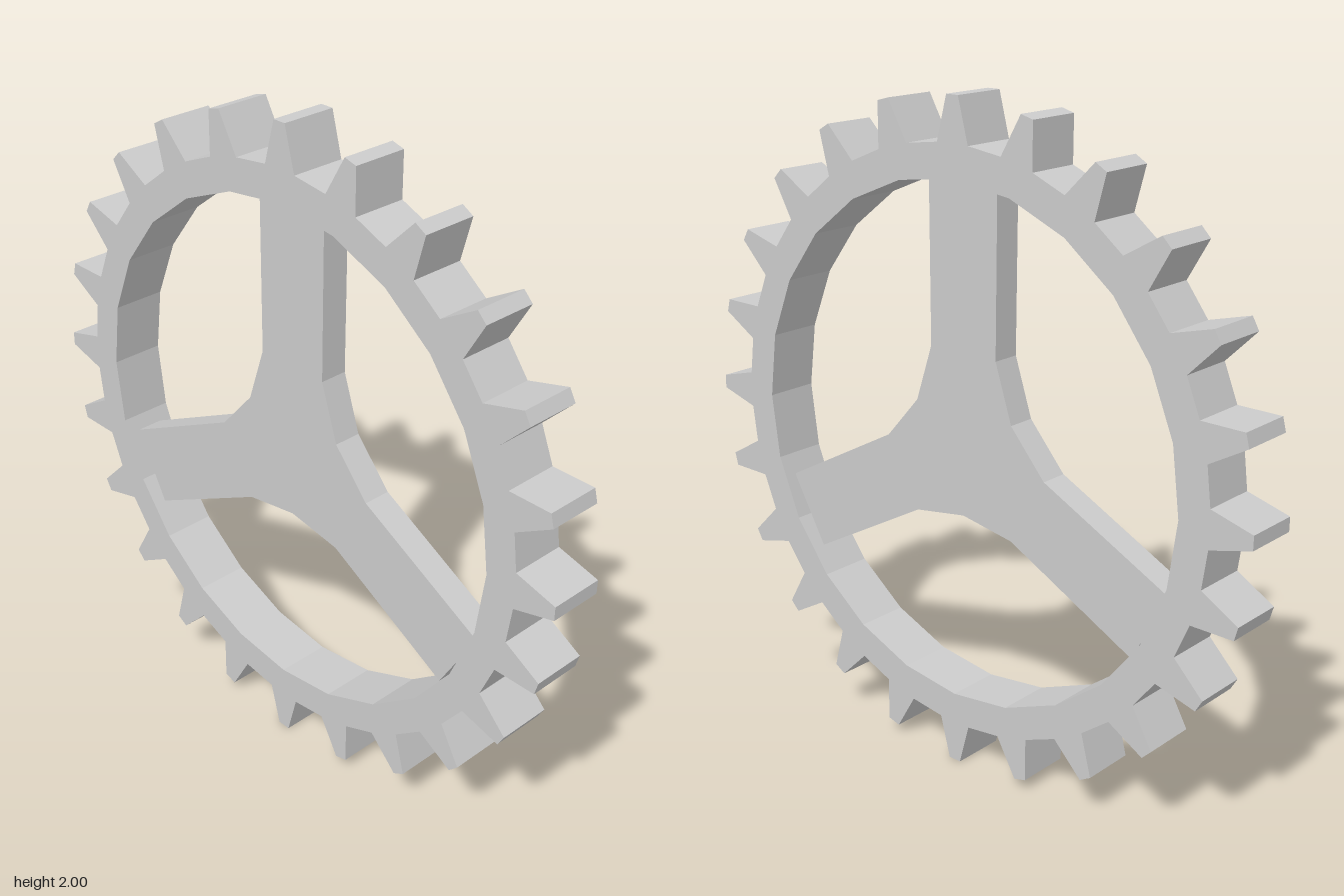
import * as THREE from 'three';

const TEETH = 24;
const material = new THREE.MeshStandardMaterial({ color: 0xcccccc, flatShading: true });

// Extrude a flat outline to the given depth, centred on z = 0
function plate(name, shape, depth) {
  const geometry = new THREE.ExtrudeGeometry(shape, { depth, bevelEnabled: false });
  geometry.translate(0, 0, -depth / 2);
  const mesh = new THREE.Mesh(geometry, material);
  mesh.name = name;
  mesh.position.y = 1;
  return mesh;
}

export function createModel() {
  const group = new THREE.Group();
  group.name = 'gearWheel';

  // Toothed rim: four outline points per tooth, faceted round hole
  const outline = [];
  const hole = [];
  const profile = [[0.87, -0.056], [1, -0.021], [1, 0.021], [0.87, 0.056]];
  for (let i = 0; i < TEETH; i++) {
    const a = (i / TEETH) * Math.PI * 2;
    const axis = new THREE.Vector2(Math.cos(a), Math.sin(a));
    for (const [r, w] of profile) {
      outline.push(new THREE.Vector2(r * axis.x - w * axis.y, r * axis.y + w * axis.x));
    }
    hole.push(axis.clone().multiplyScalar(0.776));
  }
  const rim = new THREE.Shape(outline);
  rim.holes.push(new THREE.Path(hole));
  group.add(plate('toothedRim', rim, 0.167));

  // Three-armed spider, thinner than the rim, with filleted joints
  const spider = new THREE.Shape([
    [0.125, 0.768], [-0.125, 0.768],
    [-0.122, 0.28], [-0.18, 0.106], [-0.3, -0.03],
    [-0.733, -0.245], [-0.615, -0.462],
    [-0.182, -0.24], [0, -0.21], [0.182, -0.24],
    [0.603, -0.475], [0.726, -0.262],
    [0.3, -0.03], [0.18, 0.106], [0.122, 0.28],
  ].map(([x, y]) => new THREE.Vector2(x, y)));
  group.add(plate('spokes', spider, 0.086));

  return group;
}
